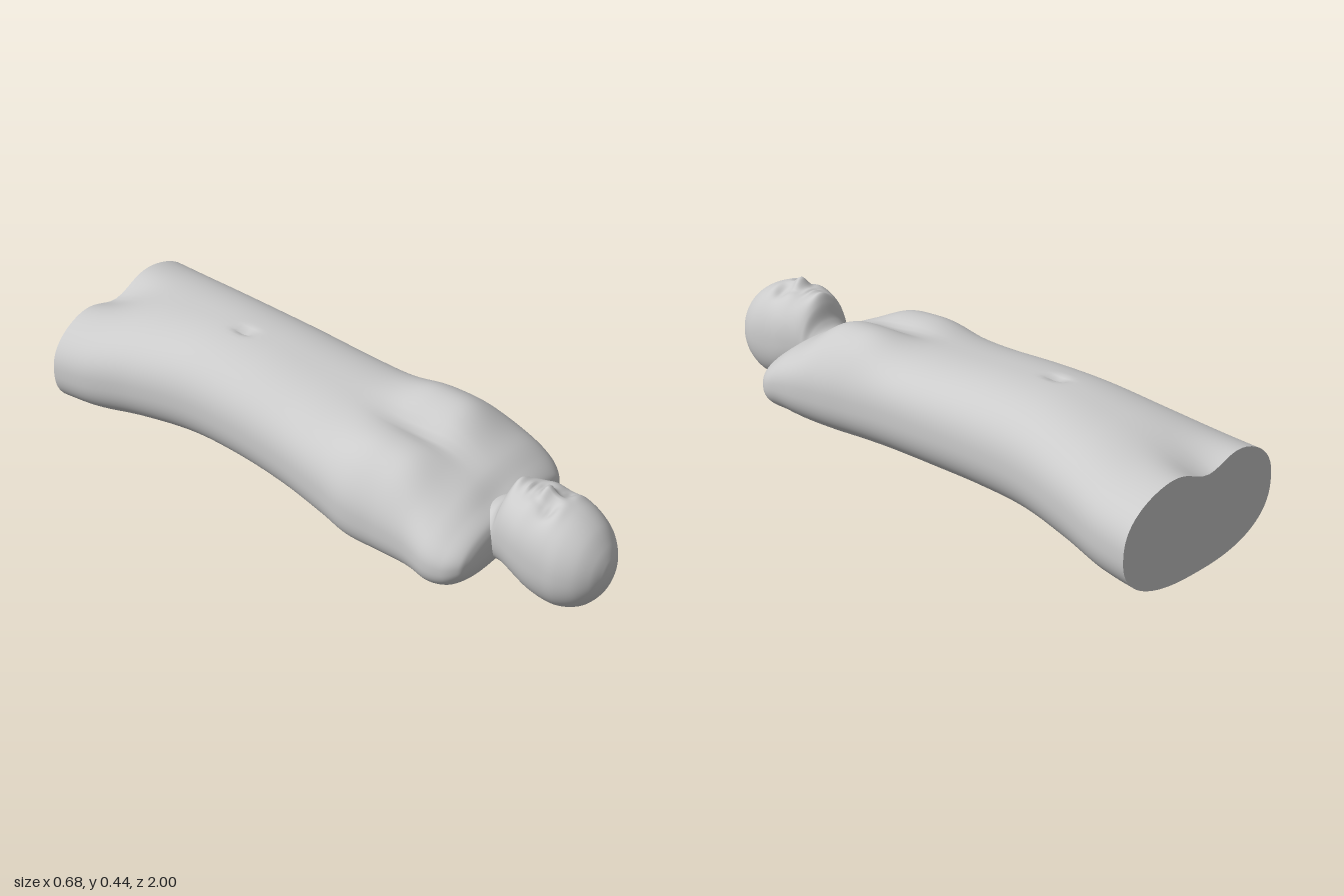
import * as THREE from 'three';

const MID = -0.035; // centre line of the face and chest

// Smooth interpolation through rows of [z, xMin, xMax, yBottom, yTop, squareness]
function sampleRows(rows, t) {
  const last = rows.length - 1;
  const i = Math.min(Math.floor(t * last), last - 1);
  const f = t * last - i;
  const row = (k) => rows[Math.max(0, Math.min(last, k))];
  return rows[0].map((_, c) => {
    const [a, b, d, e] = [row(i - 1)[c], row(i)[c], row(i + 1)[c], row(i + 2)[c]];
    return b + 0.5 * f * (d - a + f * (2 * a - 5 * b + 4 * d - e + f * (3 * (b - d) + e - a)));
  });
}

// Gaussian swelling (or hollow) seen from above
const bump = (x, z, cx, cz, sx, sz, h) =>
  h * Math.exp(-(((x - cx) / sx) ** 2) - ((z - cz) / sz) ** 2);

// Closed rounded rings swept along z, then sculpted by a rule that shifts y
function loft(rows, rings, sides, sculpt) {
  const pos = [], index = [];
  for (let i = 0; i <= rings; i++) {
    const [z, x0, x1, y0, y1, power] = sampleRows(rows, i / rings);
    for (let j = 0; j < sides; j++) {
      const a = (j / sides) * Math.PI * 2;
      const c = Math.cos(a), s = Math.sin(a);
      const u = Math.sign(c) * Math.abs(c) ** (2 / power);
      const v = Math.sign(s) * Math.abs(s) ** (2 / power);
      const x = (x0 + x1) / 2 + (u * (x1 - x0)) / 2;
      const y = (y0 + y1) / 2 + (v * (y1 - y0)) / 2;
      pos.push(x, Math.max(0, y + sculpt(x, z, s)), z);
      if (i < rings) {
        const k = (j + 1) % sides, p = i * sides, q = p + sides;
        index.push(p + j, p + k, q + j, p + k, q + k, q + j);
      }
    }
  }
  const g = new THREE.BufferGeometry();
  g.setAttribute('position', new THREE.Float32BufferAttribute(pos, 3));
  g.setIndex(index);
  g.computeVertexNormals();
  return g;
}

// Flat lid over the first ring of a loft
function lid(geometry, sides) {
  const ring = Array.from(geometry.attributes.position.array.slice(0, sides * 3));
  const g = new THREE.BufferGeometry();
  g.setAttribute('position', new THREE.Float32BufferAttribute([...ring, 0, 0.19, ring[2]], 3));
  const index = [];
  for (let j = 0; j < sides; j++) index.push(sides, (j + 1) % sides, j);
  g.setIndex(index);
  g.computeVertexNormals();
  return g;
}

const torsoRows = [
  [-1.0, -0.34, 0.335, 0.015, 0.39, 2.4],
  [-0.87, -0.325, 0.32, 0.02, 0.395, 2.45],
  [-0.7, -0.287, 0.285, 0.034, 0.42, 2.4],
  [-0.5, -0.26, 0.255, 0.045, 0.438, 2.35],
  [-0.3, -0.255, 0.25, 0.042, 0.43, 2.35],
  [-0.1, -0.262, 0.252, 0.03, 0.407, 2.4],
  [0.08, -0.285, 0.258, 0.018, 0.385, 2.5],
  [0.2, -0.305, 0.27, 0.012, 0.362, 2.6],
  [0.32, -0.3, 0.29, 0.006, 0.348, 2.6],
  [0.43, -0.3, 0.305, 0.003, 0.328, 2.5],
  [0.52, -0.315, 0.305, 0.004, 0.295, 2.4],
  [0.58, -0.305, 0.297, 0.017, 0.258, 2.4],
  [0.617, -0.28, 0.27, 0.045, 0.23, 2.4],
  [0.633, -0.25, 0.24, 0.075, 0.205, 2.4],
  [0.641, -0.19, 0.17, 0.11, 0.175, 2.3],
  [0.643, -0.03, -0.03, 0.14, 0.14, 2.3],
];

const headRows = [
  [0.45, -0.14, 0.08, 0.1, 0.25, 2.2],
  [0.54, -0.135, 0.075, 0.08, 0.245, 2.2],
  [0.6, -0.13, 0.075, 0.06, 0.245, 2.2],
  [0.63, -0.13, 0.073, 0.052, 0.272, 2.2],
  [0.65, -0.135, 0.076, 0.05, 0.322, 2.2],
  [0.68, -0.148, 0.085, 0.05, 0.343, 2.25],
  [0.73, -0.165, 0.097, 0.042, 0.346, 2.4],
  [0.78, -0.172, 0.103, 0.02, 0.345, 2.4],
  [0.84, -0.174, 0.106, 0.002, 0.347, 2.25],
  [0.89, -0.17, 0.101, 0.006, 0.33, 2.15],
  [0.94, -0.148, 0.08, 0.03, 0.295, 2.1],
  [0.975, -0.113, 0.045, 0.071, 0.25, 2.05],
  [0.993, -0.076, 0.008, 0.115, 0.212, 2],
  [0.999, -0.05, -0.018, 0.147, 0.183, 2],
  [1.0, -0.034, -0.034, 0.165, 0.165, 2],
];

// Breasts, navel, groin hollow, spine groove and the slight roll of the body
function sculptTorso(x, z, s) {
  const chest = THREE.MathUtils.smoothstep(z, -0.5, 0.3);
  const fade = 1 - 0.6 * THREE.MathUtils.smoothstep(z, 0.5, 0.64);
  const roll = (0.03 + 0.06 * chest) * (x - MID) * fade;
  if (s <= 0) {
    return roll - s * (bump(x, z, MID, 0.0, 0.11, 0.6, 0.012) + bump(x, z, 0, -0.45, 0.2, 0.25, 0.01));
  }
  const w = THREE.MathUtils.smoothstep(s, 0, 0.75);
  return roll + w * (
    bump(x, z, 0.13, 0.235, 0.13, 0.11, 0.05) +
    bump(x, z, 0.13, 0.37, 0.13, 0.085, 0.041) +
    bump(x, z, -0.175, 0.235, 0.12, 0.11, 0.036) +
    bump(x, z, -0.175, 0.37, 0.12, 0.085, 0.03) +
    bump(x, z, -0.025, 0.29, 0.045, 0.14, -0.022) +
    bump(x, z, -0.025, -0.42, 0.014, 0.03, -0.022) +
    bump(x, z, -0.03, -1.04, 0.1, 0.14, -0.06) +
    bump(x, z, MID, 0.59, 0.09, 0.05, -0.012));
}

// Nose, nostrils, brow, eyes, cheeks, lips and chin
function sculptHead(x, z, s) {
  if (s <= 0) return 0;
  let dy =
    bump(x, z, -0.04, 0.77, 0.024, 0.02, 0.032) +
    bump(x, z, -0.04, 0.797, 0.017, 0.03, 0.016) +
    bump(x, z, MID, 0.705, 0.03, 0.011, 0.011) +
    bump(x, z, MID, 0.727, 0.026, 0.009, 0.007) +
    bump(x, z, MID, 0.716, 0.028, 0.005, -0.005) +
    bump(x, z, MID, 0.667, 0.042, 0.019, 0.021);
  for (const side of [-1, 1]) {
    dy +=
      bump(x, z, MID + side * 0.052, 0.803, 0.028, 0.019, -0.017) +
      bump(x, z, MID + side * 0.05, 0.798, 0.02, 0.01, 0.007) +
      bump(x, z, MID + side * 0.05, 0.84, 0.04, 0.018, 0.005) +
      bump(x, z, MID + side * 0.066, 0.75, 0.036, 0.03, 0.008) +
      bump(x, z, -0.04 + side * 0.021, 0.767, 0.011, 0.012, 0.008);
  }
  return dy * THREE.MathUtils.smoothstep(s, 0, 0.75);
}

export function createModel() {
  const group = new THREE.Group();
  const material = new THREE.MeshStandardMaterial({ color: 0xcccccc });
  const add = (name, geometry) => {
    const mesh = new THREE.Mesh(geometry, material);
    mesh.name = name;
    group.add(mesh);
  };

  const torso = loft(torsoRows, 180, 112, sculptTorso);
  add('torso', torso);
  add('hipCut', lid(torso, 112));
  add('headAndNeck', loft(headRows, 168, 112, sculptHead));

  return group;
}
